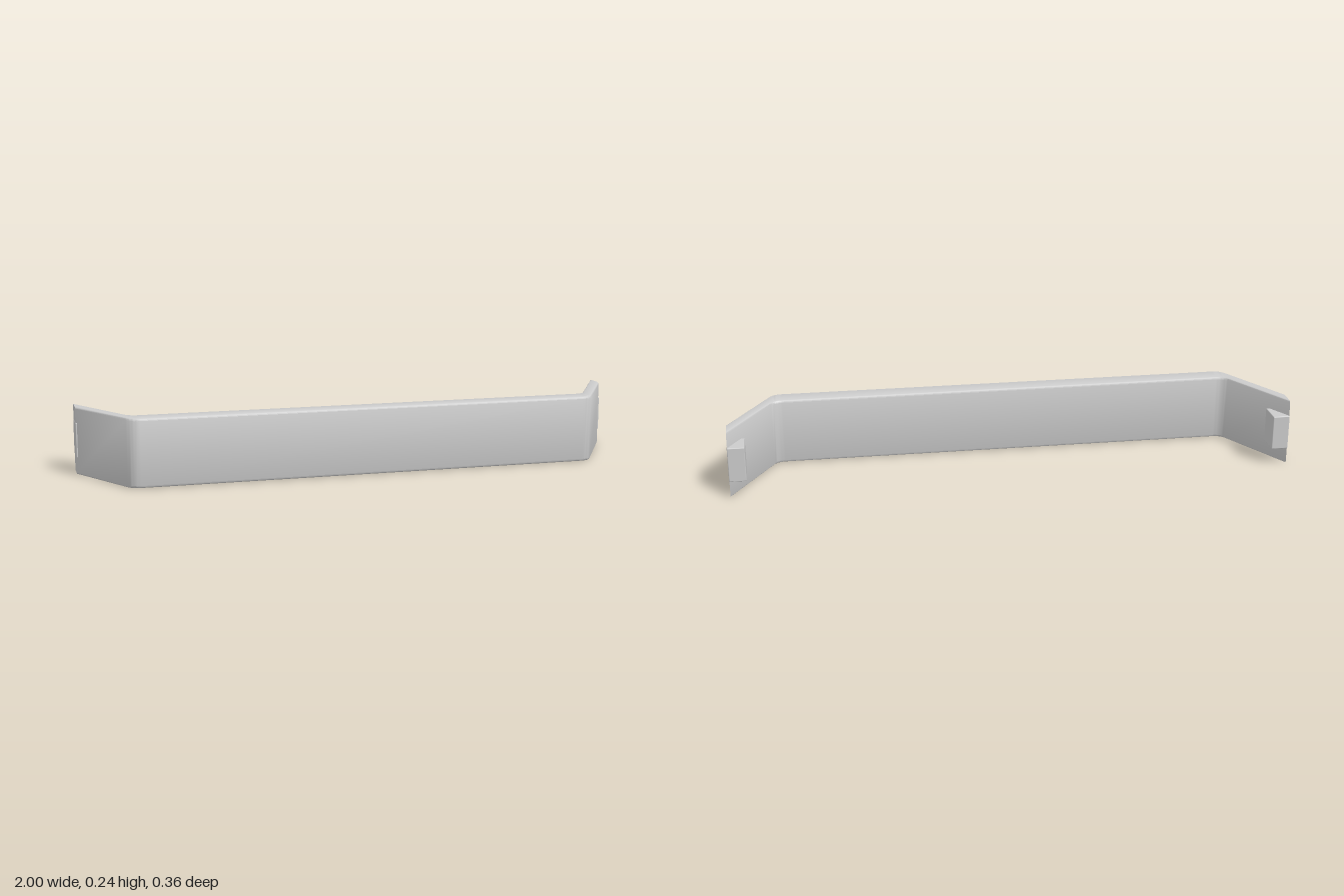
import * as THREE from 'three';
import { toCreasedNormals } from 'three/addons/utils/BufferGeometryUtils.js';
import { RoundedBoxGeometry } from 'three/addons/geometries/RoundedBoxGeometry.js';

const material = new THREE.MeshStandardMaterial({ color: 0xcccccc });
const HEIGHT = 0.242;

// Rounded 60 degree corner in plan, running from the wing to the front run
function cornerArc(x, z, radius, steps = 8) {
  const cx = x - radius * Math.tan(Math.PI / 6), cz = z - radius;
  return Array.from({ length: steps + 1 }, (_, i) => {
    const a = (Math.PI / 3) * (1 - i / steps);
    return [cx + radius * Math.sin(a), cz + radius * Math.cos(a)];
  });
}

// Cross-section: t runs from outer face (0) to inner face (1), y is height
function sectionLoop(rt, ry, steps = 4) {
  const corners = [[rt, ry, Math.PI], [1 - rt, ry, 1.5 * Math.PI],
    [1 - rt, HEIGHT - ry, 0], [rt, HEIGHT - ry, 0.5 * Math.PI]];
  return corners.flatMap(([t, y, start]) => Array.from({ length: steps + 1 }, (_, i) => {
    const a = start + (i / steps) * Math.PI / 2;
    return [t + rt * Math.cos(a), y + ry * Math.sin(a)];
  }));
}

// Bar with angled wings, swept through pairs of outer and inner plan points
function barGeometry() {
  const outer = cornerArc(0.838, 0.182, 0.05);
  const inner = cornerArc(0.835, 0.108, 0.05);
  const half = [[[0.999, -0.098], [0.999, -0.176]], ...outer.map((p, i) => [p, inner[i]])];
  const mirrored = half.map(pair => pair.map(([x, z]) => [-x, z])).reverse();
  const stations = [...half, ...mirrored];
  const section = sectionLoop(0.16, 0.009);
  const n = section.length;
  const positions = [], index = [];
  for (const [o, i] of stations) {
    for (const [t, y] of section) {
      positions.push(o[0] + (i[0] - o[0]) * t, y, o[1] + (i[1] - o[1]) * t);
    }
  }
  for (let s = 0; s < stations.length - 1; s++) {
    for (let j = 0; j < n; j++) {
      const k = (j + 1) % n;
      const a = s * n + j, b = a + n, c = (s + 1) * n + k, d = s * n + k;
      index.push(a, b, c, a, c, d);
    }
  }
  // Flat ends
  const last = (stations.length - 1) * n;
  for (let j = 1; j < n - 1; j++) {
    index.push(0, j, j + 1, last, last + j + 1, last + j);
  }
  const geometry = new THREE.BufferGeometry();
  geometry.setAttribute('position', new THREE.Float32BufferAttribute(positions, 3));
  geometry.setIndex(index);
  return toCreasedNormals(geometry, 0.6);
}

export function createModel() {
  const group = new THREE.Group();
  group.name = 'angledBar';

  const bar = new THREE.Mesh(barGeometry(), material);
  bar.name = 'bar';
  group.add(bar);

  // Block at the tip of each wing
  for (const side of [1, -1]) {
    const block = new THREE.Mesh(new RoundedBoxGeometry(0.06, 0.125, 0.09, 2, 0.003), material);
    block.name = side > 0 ? 'leftEndBlock' : 'rightEndBlock';
    block.position.set(side * 0.97, 0.123, -0.136);
    group.add(block);
  }
  return group;
}
